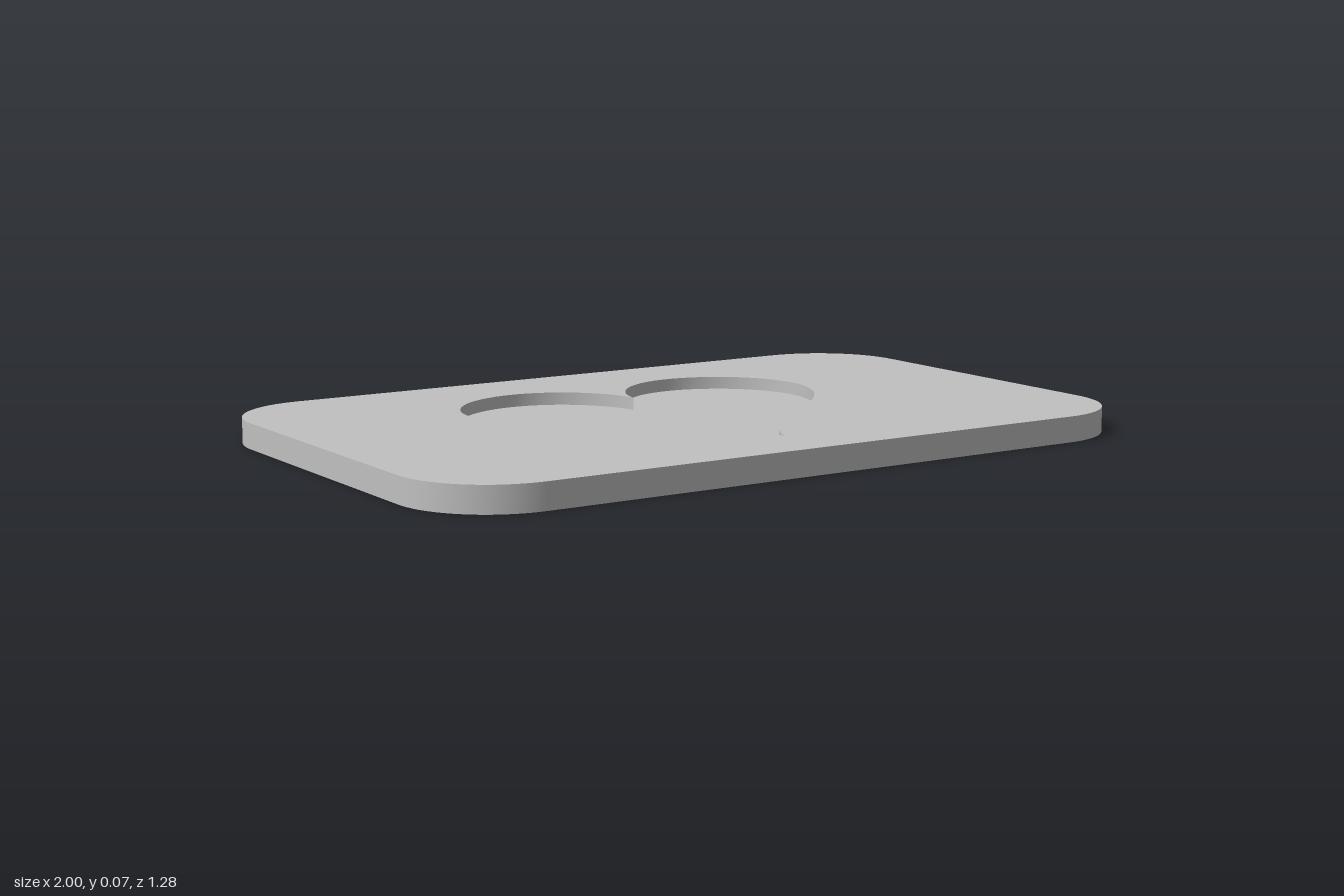
import * as THREE from 'three';

const HALF_X = 1, HALF_Z = 0.64, RADIUS = 0.24; // plate outline
const TOP = 0.066, FLOOR = 0.033;               // plate top and recess floor
const HEART_SCALE = 0.03125, HEART_Z = -0.055;

// Rounded rectangle as [x, z] points
function plateOutline(steps = 20) {
  const points = [];
  for (let corner = 0; corner < 4; corner++) {
    const cx = (HALF_X - RADIUS) * (corner === 0 || corner === 3 ? 1 : -1);
    const cz = (HALF_Z - RADIUS) * (corner < 2 ? 1 : -1);
    for (let i = 0; i <= steps; i++) {
      const a = (corner + i / steps) * Math.PI / 2;
      points.push([cx + RADIUS * Math.cos(a), cz + RADIUS * Math.sin(a)]);
    }
  }
  return points;
}

// Half of the heart curve from t = start, over half a turn
function heartHalf(start, steps = 60) {
  return Array.from({ length: steps + 1 }, (_, i) => {
    const t = start + Math.PI * i / steps;
    const x = 16 * Math.sin(t) ** 3;
    const y = 13 * Math.cos(t) - 5 * Math.cos(2 * t) - 2 * Math.cos(3 * t) - Math.cos(4 * t);
    return [x * HEART_SCALE, HEART_Z - y * HEART_SCALE];
  });
}

// Vertical strip along a path of [x, z] points
function wall(points, y0, y1) {
  const positions = [], index = [];
  points.forEach(([x, z], i) => {
    positions.push(x, y0, z, x, y1, z);
    if (i < points.length - 1) {
      const a = 2 * i;
      index.push(a, a + 1, a + 2, a + 1, a + 3, a + 2);
    }
  });
  const geometry = new THREE.BufferGeometry();
  geometry.setAttribute('position', new THREE.Float32BufferAttribute(positions, 3));
  geometry.setIndex(index);
  geometry.computeVertexNormals();
  return geometry;
}

// Horizontal face, looking up
function face(points, y, hole) {
  const flat = (list) => list.map(([x, z]) => new THREE.Vector2(x, -z));
  const shape = new THREE.Shape(flat(points));
  if (hole) shape.holes.push(new THREE.Path(flat(hole)));
  return new THREE.ShapeGeometry(shape).rotateX(-Math.PI / 2).translate(0, y, 0);
}

export function createModel() {
  const model = new THREE.Group();
  model.name = 'heartPlate';
  const grey = new THREE.MeshStandardMaterial({ color: 0xc0c0c0 });
  grey.name = 'grey';
  const add = (name, geometry) => {
    const mesh = new THREE.Mesh(geometry, grey);
    mesh.name = name;
    model.add(mesh);
  };

  const outline = plateOutline();
  const leftHalf = heartHalf(0), rightHalf = heartHalf(Math.PI);
  const heart = [...leftHalf.slice(0, -1), ...rightHalf.slice(0, -1)];

  // Plate
  add('plateTop', face(outline, TOP, heart));
  add('plateBottom', face(outline, 0).rotateX(Math.PI));
  add('plateEdge', wall([...outline, outline[0]], 0, TOP));

  // Heart recess, walls facing inward
  add('recessFloor', face(heart, FLOOR));
  add('recessWallLeft', wall([...leftHalf].reverse(), FLOOR, TOP));
  add('recessWallRight', wall([...rightHalf].reverse(), FLOOR, TOP));

  return model;
}
